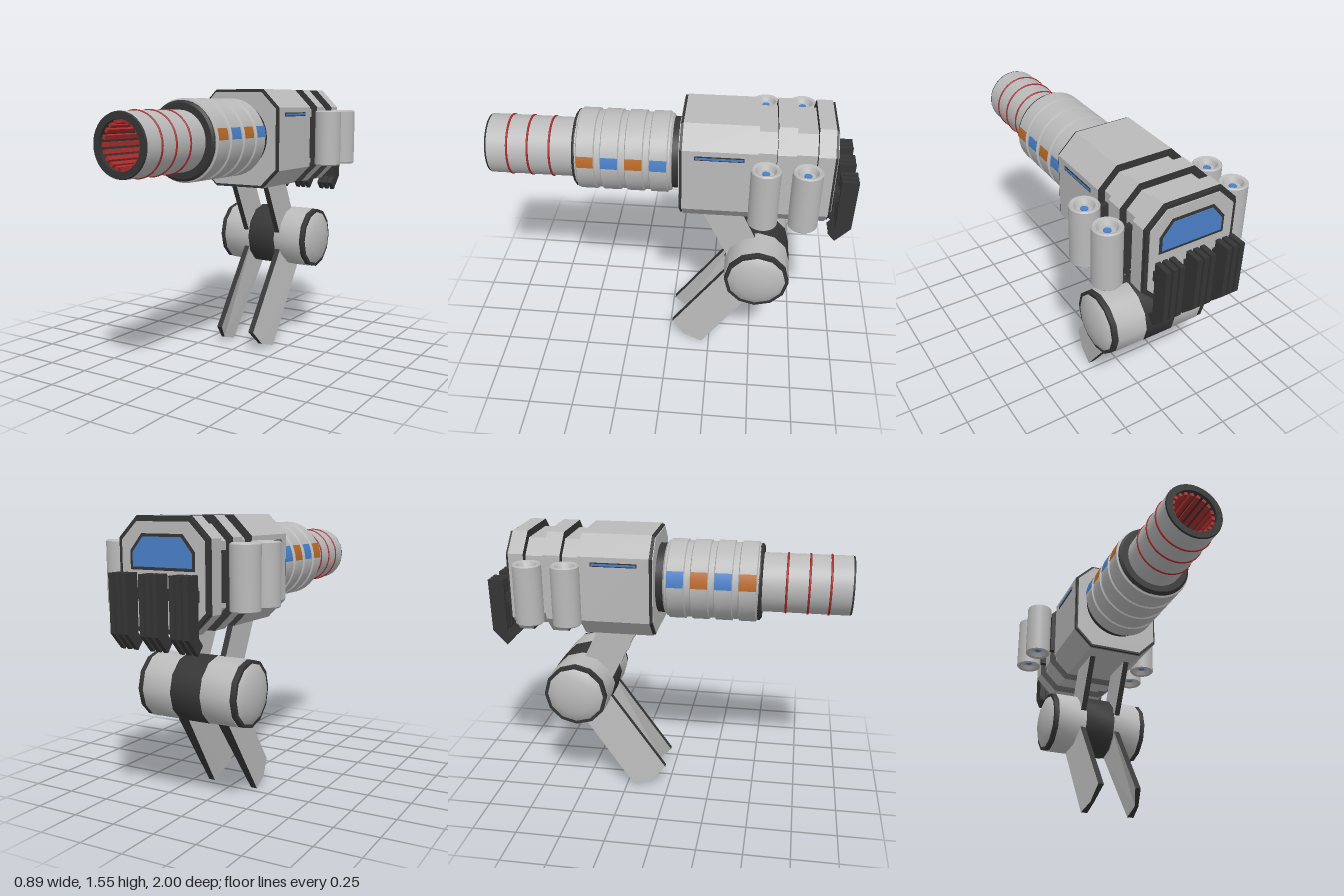
import * as THREE from 'three';
import { toCreasedNormals } from 'three/addons/utils/BufferGeometryUtils.js';

const mat = (name, color, side = THREE.FrontSide) => new THREE.MeshStandardMaterial({ name, color, side });
const AXIS_Y = 1.275;

export function createModel() {
  const root = new THREE.Group();
  const grey = mat('light grey', 0xbababa);
  const dark = mat('charcoal', 0x353535);
  const blue = mat('blue', 0x4a80c8);
  const orange = mat('orange', 0xb96a28);
  const red = mat('red', 0xa82c2c);

  const add = (name, geo, material, x = 0, y = 0, z = 0, parent = root) => {
    const m = new THREE.Mesh(geo, material);
    m.name = name;
    m.position.set(x, y, z);
    parent.add(m);
    return m;
  };
  const box = (w, h, d) => new THREE.BoxGeometry(w, h, d);
  const shapeOf = (pts) => new THREE.Shape(pts.map(([a, b]) => new THREE.Vector2(a, b)));
  const lathe = (pts, seg = 40) =>
    toCreasedNormals(new THREE.LatheGeometry(pts.map(([r, y]) => new THREE.Vector2(r, y)), seg), 0.6);
  const latheZ = (pts, seg) => lathe(pts, seg).rotateX(Math.PI / 2);
  // (z, y) outline extruded across x from x0 to x1
  const sideExtrude = (pts, x0, x1) =>
    new THREE.ExtrudeGeometry(shapeOf(pts), { depth: x1 - x0, bevelEnabled: false })
      .rotateY(-Math.PI / 2).translate(x1, 0, 0);
  // chamfered rectangle extruded from z0 to z1
  const octagon = (inset, z0, z1) => {
    const w = 0.265 - inset, h = 0.285 - inset, c = 0.105 - inset * 0.58;
    return new THREE.ExtrudeGeometry(shapeOf([
      [-w + c, -h], [w - c, -h], [w, -h + c], [w, h - c],
      [w - c, h], [-w + c, h], [-w, h - c], [-w, -h + c],
    ]), { depth: z1 - z0, bevelEnabled: false }).translate(0, 0, z0);
  };

  // Housing: raised blocks with dark end walls over a narrower core
  const housing = new THREE.Group();
  housing.name = 'housing';
  housing.position.y = 1.265;
  root.add(housing);
  add('housingCore', octagon(0.04, -0.84, -0.08), grey, 0, 0, 0, housing);
  [[-0.468, -0.08], [-0.66, -0.565], [-0.855, -0.77]].forEach(([a, b]) =>
    add('housingBlock', octagon(0, a, b), [dark, grey], 0, 0, 0, housing));
  add('frontRim', octagon(0.006, -0.08, -0.066), dark, 0, 0, 0, housing);
  add('frontFace', octagon(0.016, -0.067, -0.061), grey, 0, 0, 0, housing);
  add('rearRim', octagon(0.008, -0.868, -0.855), dark, 0, 0, 0, housing);
  add('rearFace', octagon(0.028, -0.874, -0.867), grey, 0, 0, 0, housing);

  // Rear window with a dark frame
  const pane = (e, z) => new THREE.ExtrudeGeometry(shapeOf([
    [-0.17 - e, 0.04 - e], [0.17 + e, 0.04 - e], [0.17 + e, 0.11 + e * 0.5],
    [0.11 + e * 0.5, 0.185 + e], [-0.11 - e * 0.5, 0.185 + e], [-0.17 - e, 0.11 + e * 0.5],
  ]), { depth: 0.006, bevelEnabled: false }).translate(0, 0, z);
  add('rearWindowFrame', pane(0.015, -0.878), dark, 0, 0, 0, housing);
  add('rearWindow', pane(0, -0.881), blue, 0, 0, 0, housing);

  // Collar and ribbed sleeve
  add('collar', latheZ([[0, -0.07], [0.195, -0.07], [0.195, -0.02], [0, -0.02]]), dark, 0, AXIS_Y, 0);
  const bands = [0.05, 0.18, 0.31, 0.44];
  const sleeve = [[0, -0.02], [0.2, -0.02], [0.212, -0.01]];
  bands.forEach((z) => sleeve.push([0.213, z - 0.05], [0.222, z - 0.045], [0.222, z + 0.045], [0.213, z + 0.05]));
  sleeve.push([0.213, 0.498], [0, 0.498]);
  add('sleeve', latheZ(sleeve), grey, 0, AXIS_Y, 0);
  add('sleeveLip', latheZ([[0, 0.495], [0.213, 0.495], [0.213, 0.505], [0.2, 0.515], [0, 0.515]]), dark, 0, AXIS_Y, 0);

  // Coloured patches curving over both sides of the sleeve bands
  const deg = Math.PI / 180;
  bands.forEach((z, i) => [1, -1].forEach((s) => {
    const lo = 2 * deg, len = (s > 0 ? 16 : 23) * deg;
    const start = s > 0 ? Math.PI / 2 + lo : Math.PI * 1.5 - lo - len;
    const arc = new THREE.CylinderGeometry(0.2255, 0.2255, 0.092, 8, 1, true, start, len).rotateX(Math.PI / 2);
    add('sleevePatch', arc, i % 2 ? orange : blue, 0, AXIS_Y, z);
  }));

  // Barrel: hollow tube with dark muzzle, red rings and red bore ribs
  add('barrel', latheZ([[0.163, 0.5], [0.163, 0.99]]), grey, 0, AXIS_Y, 0);
  add('muzzleAndBore', latheZ([[0.163, 0.99], [0.16, 1], [0.125, 1], [0.125, 0.55], [0, 0.55]]), dark, 0, AXIS_Y, 0);
  [0.645, 0.765, 0.878].forEach((z) =>
    add('barrelRing', new THREE.TorusGeometry(0.163, 0.006, 8, 40), red, 0, AXIS_Y, z));
  for (let i = 0; i < 20; i++) {
    const a = (i / 20) * Math.PI * 2;
    const rib = add('boreRib', box(0.018, 0.022, 0.42), red, Math.cos(a) * 0.116, AXIS_Y + Math.sin(a) * 0.116, 0.77);
    rib.rotation.z = a;
  }

  // Side pods with cupped ends, brackets and slim side slots
  const podGeo = lathe([[0, -0.135], [0.04, -0.135], [0.054, -0.16], [0.07, -0.165], [0.077, -0.158],
    [0.077, 0.158], [0.07, 0.165], [0.054, 0.16], [0.04, 0.135], [0, 0.135]], 32);
  [1, -1].forEach((s) => {
    [-0.51, -0.717].forEach((z) => {
      add('pod', podGeo, grey, s * 0.366, 1.26, z);
      add('podLens', new THREE.CylinderGeometry(0.02, 0.02, 0.278, 16), blue, s * 0.366, 1.26, z);
      add('podBracket', box(0.05, 0.25, 0.035), dark, s * 0.26, 1.26, z);
      add('podPin', box(0.06, 0.03, 0.02), dark, s * 0.28, 1.26, z);
    });
    add('sideSlot', box(0.006, 0.022, 0.255), dark, s * 0.266, 1.405, -0.272);
    add('sideSlotStripe', box(0.006, 0.012, 0.245), blue, s * 0.268, 1.405, -0.272);
  });

  // Rear vanes: three slats around a slimmer core, each on a stub
  const vane = [[-0.91, 1.28], [-0.91, 0.985], [-0.875, 0.945], [-0.915, 0.9], [-0.995, 0.985], [-1, 1.28]];
  const core = [[-0.92, 1.265], [-0.92, 0.98], [-0.89, 0.945], [-0.915, 0.92], [-0.98, 0.99], [-0.98, 1.265]];
  [-0.172, 0, 0.176].forEach((x) => {
    add('vaneCore', sideExtrude(core, -0.05, 0.05), dark, x);
    [-0.039, 0, 0.039].forEach((o) => add('vaneSlat', sideExtrude(vane, o - 0.013, o + 0.013), dark, x));
    add('vaneStub', box(0.07, 0.055, 0.08), dark, x, 1.175, -0.885);
  });

  // Hip drum across x with dark middle, end rings and domed caps
  const hip = new THREE.Group();
  hip.name = 'hip';
  hip.position.x = 0.006;
  root.add(hip);
  const drum = (name, r, x0, x1, m) =>
    add(name, toCreasedNormals(new THREE.CylinderGeometry(r, r, x1 - x0, 12), 0.6).rotateZ(Math.PI / 2),
      m, (x0 + x1) / 2, 0.638, -0.51, hip);
  drum('drumMiddle', 0.181, -0.127, 0.127, dark);
  [1, -1].forEach((s) => {
    const part = (name, r, a, b, m) => drum(name, r, Math.min(s * a, s * b), Math.max(s * a, s * b), m);
    part('drumShell', 0.184, 0.085, 0.265, grey);
    part('drumRing', 0.181, 0.265, 0.295, dark);
    const cap = lathe([[0.168, 0.29], [0.15, 0.305], [0.11, 0.321], [0.06, 0.332], [0, 0.336]], 12)
      .rotateZ(-s * Math.PI / 2);
    add('drumCap', cap, grey, 0, 0.638, -0.51, hip);
  });
  drum('drumMiddleBand', 0.186, -0.09, 0.09, dark);

  // Upper arms and lower legs: grey faces with dark edges
  const arm = [[-0.17, 1.01], [-0.395, 1.01], [-0.49, 0.815], [-0.53, 0.72], [-0.42, 0.6], [-0.335, 0.68]];
  const leg = [[-0.4, 0.65], [-0.585, 0.545], [-0.52, 0.455], [-0.205, 0], [-0.095, 0.035], [-0.02, 0.12], [-0.335, 0.56]];
  [1, -1].forEach((s) => {
    const span = (a, b) => (s > 0 ? [a, b] : [-b, -a]);
    add('upperArm', sideExtrude(arm, ...span(0.094, 0.127)), [grey, dark], 0, 0, 0, hip);
    const g = sideExtrude(leg, ...span(0.094, 0.127));
    const p = g.attributes.position;
    // Outer face flares toward the back edge; inner face narrows at the foot
    for (let i = 0; i < p.count; i++) {
      const x = Math.abs(p.getX(i)), y = p.getY(i), z = p.getZ(i);
      const back = THREE.MathUtils.clamp((-0.813 * z - 0.582 * y + 0.054) / 0.215, 0, 1);
      if (x > 0.11) p.setX(i, s * (0.127 + 0.033 * back));
      else if (y < 0.06) p.setX(i, s * 0.122);
    }
    g.computeVertexNormals();
    add('lowerLeg', g, [grey, dark], 0, 0, 0, hip);
  });

  return root;
}
